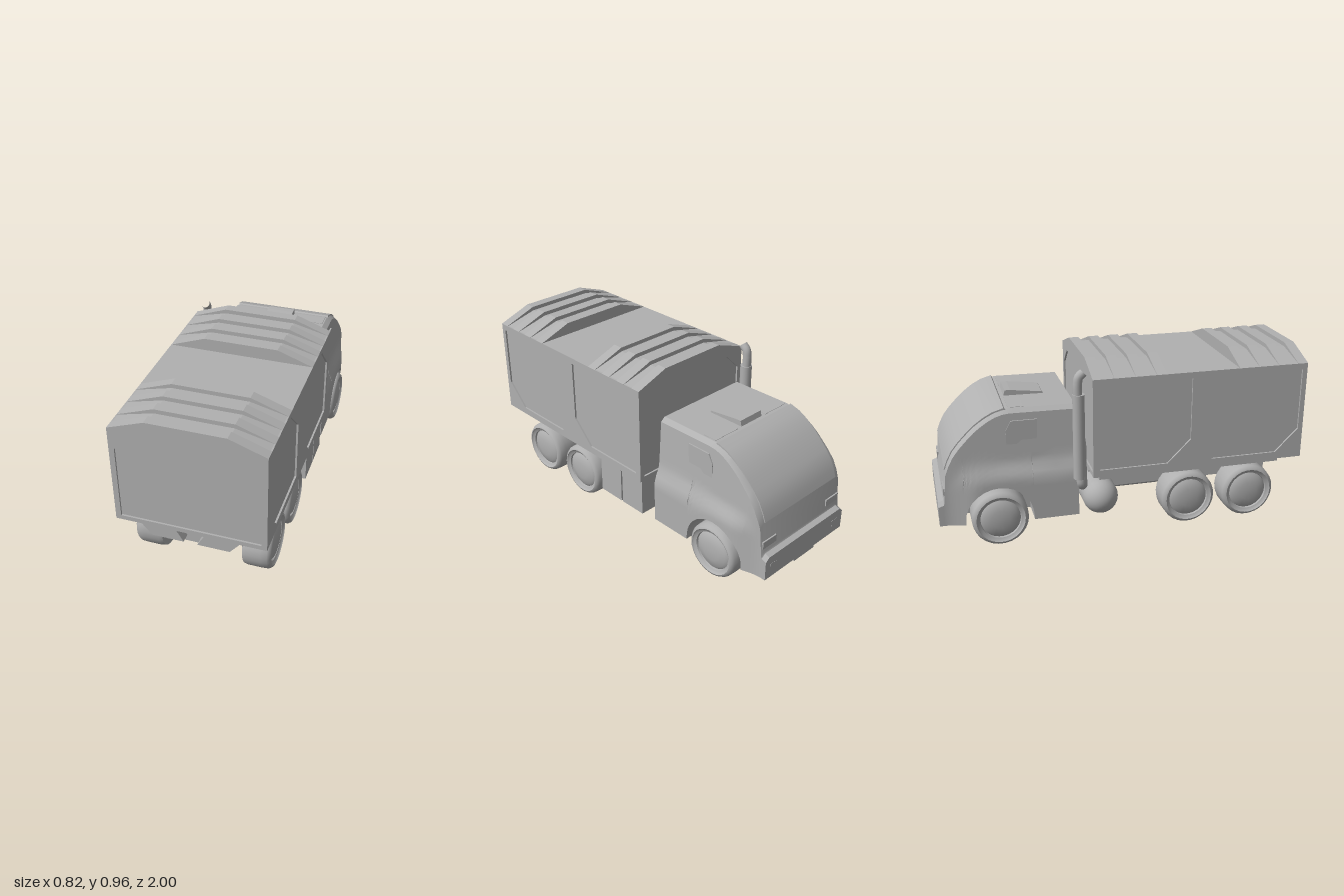
import * as THREE from 'three';
import { toCreasedNormals } from 'three/addons/utils/BufferGeometryUtils.js';

const grey = new THREE.MeshStandardMaterial({ color: 0xb0b0b0 });
grey.name = 'body grey';

const lerp = THREE.MathUtils.lerp;
const smooth = THREE.MathUtils.smoothstep;

function polygon(points) {
  return new THREE.Shape(points.map(([x, y]) => new THREE.Vector2(x, y)));
}

export function createModel() {
  const model = new THREE.Group();
  model.name = 'truck';
  const truck = new THREE.Group();
  truck.name = 'truckBody';
  truck.position.x = 0.023;
  model.add(truck);

  function add(name, geometry, x = 0, y = 0, z = 0) {
    const mesh = new THREE.Mesh(geometry, grey);
    mesh.name = name;
    mesh.position.set(x, y, z);
    truck.add(mesh);
    return mesh;
  }
  // Box given by its limits
  function box(name, x0, x1, y0, y1, z0, z1) {
    return add(name, new THREE.BoxGeometry(x1 - x0, y1 - y0, z1 - z0),
      (x0 + x1) / 2, (y0 + y1) / 2, (z0 + z1) / 2);
  }
  // Outline in x, y extruded from z0 to z1
  function alongZ(name, shape, z0, z1) {
    return add(name, new THREE.ExtrudeGeometry(shape, { depth: z1 - z0, bevelEnabled: false }), 0, 0, z0);
  }
  // Outline in -z, y extruded from x0 to x1
  function alongX(name, shape, x0, x1) {
    const g = new THREE.ExtrudeGeometry(shape, { depth: x1 - x0, bevelEnabled: false });
    return add(name, g.rotateY(Math.PI / 2), x0);
  }
  function rod(name, r, length, axis, x, y, z, sides = 16) {
    const g = new THREE.CylinderGeometry(r, r, length, sides);
    if (axis === 'x') g.rotateZ(Math.PI / 2);
    if (axis === 'z') g.rotateX(Math.PI / 2);
    return add(name, sides < 10 ? toCreasedNormals(g, 0.5) : g, x, y, z);
  }
  function pipe(name, points, r) {
    const curve = new THREE.CatmullRomCurve3(points.map(p => new THREE.Vector3(...p)), false, 'centripetal');
    return add(name, new THREE.TubeGeometry(curve, 40, r, 14));
  }

  // Cargo box: core with framed, recessed panels
  const W = 0.386;
  box('cargoBox', -W + 0.01, W - 0.01, 0.356, 0.9, -0.18, 0.99);

  const sideFrame = polygon([[-1, 0.356], [0.19, 0.356], [0.19, 0.9], [-1, 0.9]]);
  for (const u of [-0.973, -0.348]) {
    sideFrame.holes.push(polygon([[u, 0.866], [u + 0.353, 0.866], [u + 0.503, 0.722],
      [u + 0.503, 0.396], [u + 0.128, 0.396], [u, 0.524]]));
  }
  alongX('cargoSideFrameLeft', sideFrame, W - 0.01, W);
  alongX('cargoSideFrameRight', sideFrame, -W, -W + 0.01);

  const endFrame = polygon([[-W, 0.356], [W, 0.356], [W, 0.9], [-W, 0.9]]);
  endFrame.holes.push(polygon([[-0.358, 0.38], [0.358, 0.38], [0.358, 0.784], [0.268, 0.873],
    [-0.268, 0.873], [-0.358, 0.784]]));
  alongZ('cargoRearFrame', endFrame, 0.99, 1);
  alongZ('cargoFrontFrame', endFrame, -0.19, -0.18);

  // Hipped roof ribs in two groups
  const tallRib = polygon([[-W, 0.9], [W, 0.9], [0.198, 0.967], [-0.198, 0.967]]);
  const lowRib = polygon([[-0.378, 0.9], [0.378, 0.9], [0.196, 0.945], [-0.196, 0.945]]);
  for (const [start, end] of [[0.61, 1], [-0.19, 0.207]]) {
    alongZ('roofBase', lowRib, start + 0.02, end - 0.02);
    const pitch = (end - start - 0.055) / 3;
    for (let i = 0; i < 4; i++) alongZ('roofRib', tallRib, start + i * pitch, start + i * pitch + 0.055);
  }

  // Tapered floor and chassis
  alongZ('cargoFloor', polygon([[-0.25, 0.356], [-0.2, 0.296], [-0.035, 0.296], [-0.07, 0.356]]), -0.18, 1);
  alongZ('cargoFloor', polygon([[0.25, 0.356], [0.2, 0.296], [0.035, 0.296], [0.07, 0.356]]), -0.18, 1);
  alongZ('floorSkirt', polygon([[-0.35, 0.356], [-0.35, 0.325], [-0.2, 0.296], [0.2, 0.296],
    [0.35, 0.325], [0.35, 0.356]]), -0.15, 0.88);
  for (const s of [-1, 1]) {
    add('chassisRail', new THREE.BoxGeometry(0.06, 0.1, 1.2), s * 0.145, 0.247, 0.28);
    rod('driveRod', 0.025, 0.85, 'z', s * 0.06, 0.16, 0.14, 10);
  }
  for (const z of [0.87, 0.53, 0.2, -0.24]) box('crossMember', -0.145, 0.145, 0.2, 0.296, z - 0.02, z + 0.02);
  alongZ('towBracket', polygon([[-0.05, 0.29], [0.05, 0.29], [0.05, 0.34], [0.03, 0.356], [-0.03, 0.356]]), 0.87, 0.95);

  // Wheels, with domed hub outside and open rim inside
  const wheelProfile = [[0, 0.074], [0.05, 0.072], [0.09, 0.064], [0.107, 0.052], [0.11, 0.062], [0.126, 0.068],
    [0.13, 0.074], [0.14, 0.07], [0.15, 0.055], [0.152, 0.02], [0.152, -0.055], [0.147, -0.074], [0.118, -0.074],
    [0.108, -0.06], [0.1, 0.01], [0, 0.01]].map(([r, h]) => new THREE.Vector2(r, h)).reverse();
  const wheelGeometry = toCreasedNormals(new THREE.LatheGeometry(wheelProfile, 26), 0.75);
  for (const z of [0.711, 0.358, -0.684]) {
    for (const s of [-1, 1]) {
      const wheel = add('wheel', wheelGeometry, s * 0.289, 0.16, z);
      wheel.rotation.z = -s * Math.PI / 2;
      rod('brakeDrum', 0.07, 0.1, 'x', s * 0.235, 0.16, z);
    }
    rod('axle', 0.04, 0.44, 'x', 0, 0.155, z, 8);
    rod('differential', 0.06, 0.11, 'x', 0, 0.142, z, 6);
    const cone = new THREE.CylinderGeometry(0.025, 0.05, 0.09, 8);
    for (const s of [-1, 1]) add('axleCone', cone, s * 0.095, 0.145, z).rotation.z = -s * Math.PI / 2;
  }

  // Storage boxes on one side, fuel tank on the other
  box('storageBox', 0.2, 0.365, 0.133, 0.345, -0.005, 0.16);
  box('storageBox', 0.2, 0.365, 0.133, 0.345, -0.176, -0.016);
  box('step', 0.14, 0.2, 0.133, 0.29, -0.28, -0.16);
  const tank = new THREE.CapsuleGeometry(0.096, 0.16, 10, 24).rotateZ(Math.PI / 2);
  add('fuelTank', tank, -0.258, 0.229, -0.143);

  // Cab: lofted sections with wheel arches cut into the lower edge
  const profile = [[-0.262, 0.745], [-0.63, 0.75], [-0.69, 0.732], [-0.738, 0.706], [-0.79, 0.668], [-0.834, 0.626],
    [-0.875, 0.583], [-0.909, 0.54], [-0.935, 0.49], [-0.952, 0.444], [-0.968, 0.285], [-0.972, 0.275], [-1, 0.265]];
  function cabTop(z) {
    let i = 1;
    while (i < profile.length - 1 && z < profile[i][0]) i++;
    const [a, b] = [profile[i - 1], profile[i]];
    return lerp(a[1], b[1], (z - a[0]) / (b[0] - a[0]));
  }
  function cabHalfWidth(y, z) {
    const lower = 0.352 - 0.042 * smooth(-z, 0.78, 0.97);
    const upper = 0.316 - 0.06 * Math.max(0, y - 0.48);
    return lerp(lower, Math.min(lower, upper), smooth(y, 0.37, 0.48));
  }
  const stations = [[-0.262, 0.137], [-0.38, 0.137], [-0.503, 0.137]];
  for (let i = 0; i <= 14; i++) {
    const a = Math.PI * i / 14;
    stations.push([-0.684 + 0.18 * Math.cos(a), 0.16 + 0.18 * Math.sin(a)]);
  }
  stations.push([-0.865, 0.137]);
  for (const [z] of profile) if (z < -0.87) stations.push([z, 0.137]);

  const rows = 16, loop = 2 * rows + 2, positions = [], index = [];
  for (const [z, bottom] of stations) {
    const top = cabTop(z), side = [];
    for (let j = 0; j < rows; j++) {
      const y = lerp(bottom, top - 0.02, j / (rows - 1));
      side.push([cabHalfWidth(y, z), y]);
    }
    side.push([cabHalfWidth(top, z) - 0.025, top]);
    for (const [x, y] of side) positions.push(x, y, z);
    for (const [x, y] of side.reverse()) positions.push(-x, y, z);
  }
  const last = (stations.length - 1) * loop;
  for (let i = 0; i < stations.length - 1; i++) {
    for (let k = 0; k < loop; k++) {
      const a = i * loop + k, b = i * loop + (k + 1) % loop;
      index.push(a, a + loop, b + loop, a, b + loop, b);
    }
  }
  for (let j = 0; j < rows; j++) {
    const l = loop - 1 - j;
    index.push(j, j + 1, l - 1, j, l - 1, l);
    index.push(last + j, last + l - 1, last + j + 1, last + j, last + l, last + l - 1);
  }
  const cab = new THREE.BufferGeometry();
  cab.setAttribute('position', new THREE.Float32BufferAttribute(positions, 3));
  cab.setIndex(index);
  add('cab', toCreasedNormals(cab, 0.6));
  box('cabUnderbody', -0.2, 0.2, 0.14, 0.38, -0.9, -0.45);
  alongX('cabBelly', polygon([[0.262, 0.09], [0.53, 0.137], [0.53, 0.16], [0.262, 0.16]]), -0.2, 0.2);

  // Windshield skin, following the cab profile
  const glass = profile.slice(1, 10).map(([z, y]) => [-z, y]);
  const skin = glass.map(([u, y]) => [u + 0.004, y + 0.004]).concat(glass.slice().reverse().map(([u, y]) => [u - 0.006, y - 0.006]));
  const skinMesh = alongX('windshield', polygon(skin), -0.28, 0.28);
  skinMesh.geometry = toCreasedNormals(skinMesh.geometry, 0.5);

  // Side windows
  const windowShape = polygon([[0.468, 0.69], [0.605, 0.69], [0.632, 0.642], [0.632, 0.556], [0.585, 0.556],
    [0.552, 0.583], [0.473, 0.583]]);
  alongX('sideWindow', windowShape, 0.302, 0.311);
  alongX('sideWindow', windowShape, -0.311, -0.302);

  // Roof scoop and hatches
  alongX('roofScoop', polygon([[0.39, 0.74], [0.61, 0.74], [0.6, 0.779], [0.57, 0.778], [0.4, 0.757]]), -0.077, 0.077);
  for (const s of [-1, 1]) {
    add('roofHatch', new THREE.BoxGeometry(0.165, 0.008, 0.08), s * 0.185, 0.747, -0.57);
    // Front lamps
    add('headlamp', new THREE.BoxGeometry(0.1, 0.04, 0.009), s * 0.25, 0.325, -0.965);
    add('bumperLamp', new THREE.BoxGeometry(0.05, 0.035, 0.006), s * 0.25, 0.2, -0.998);
  }
  box('bumperPlate', -0.08, 0.08, 0.125, 0.16, -1, -0.9);

  // Exhaust stack with curved tip and feed pipe
  rod('exhaustStack', 0.032, 0.47, 'y', -0.352, 0.585, -0.258, 18);
  const tip = pipe('exhaustTip', [[-0.352, 0.8, -0.262], [-0.352, 0.875, -0.262], [-0.352, 0.91, -0.255],
    [-0.352, 0.935, -0.23]], 0.024);
  tip.material = grey;
  pipe('exhaustFeed', [[-0.352, 0.37, -0.25], [-0.35, 0.32, -0.245], [-0.315, 0.295, -0.235], [-0.28, 0.32, -0.23],
    [-0.275, 0.4, -0.23], [-0.27, 0.5, -0.23], [-0.23, 0.54, -0.23], [-0.1, 0.54, -0.23], [0.05, 0.54, -0.23],
    [0.09, 0.52, -0.235], [0.095, 0.45, -0.255]], 0.028);
  box('exhaustBracket', -0.15, -0.065, 0.5, 0.58, -0.27, -0.21);
  return model;
}
